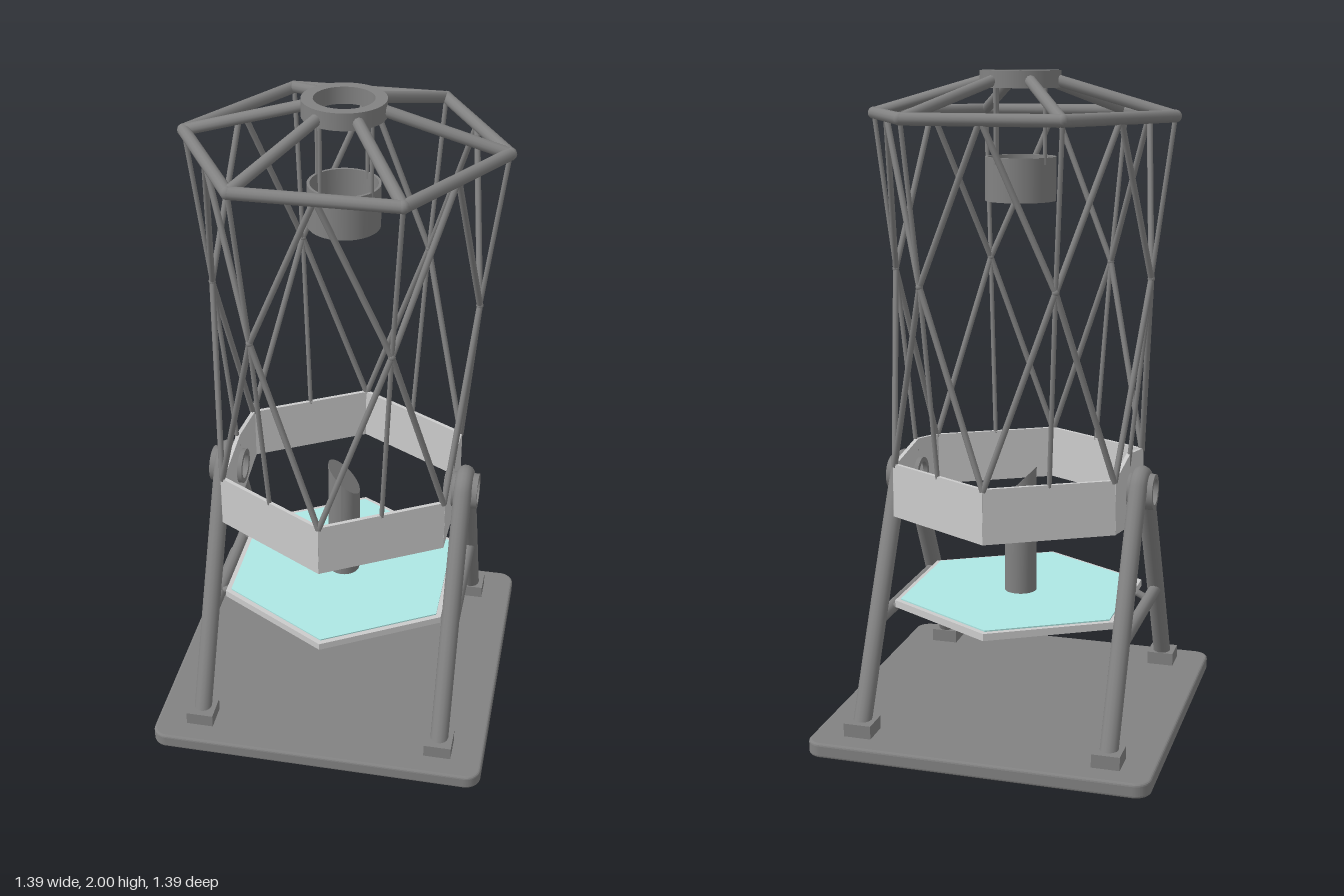
import * as THREE from 'three';

const dark = new THREE.MeshStandardMaterial({ color: 0x828282 });
const openDark = new THREE.MeshStandardMaterial({ color: 0x828282, side: THREE.DoubleSide });
const flatGrey = new THREE.MeshStandardMaterial({ color: 0xcccccc, flatShading: true });
const glass = new THREE.MeshStandardMaterial({ color: 0xaee7e4 });
const flatGlass = new THREE.MeshStandardMaterial({ color: 0xaee7e4, flatShading: true });

const V = (x, y, z) => new THREE.Vector3(x, y, z);
// Point on a circle, angle in degrees from +x towards +z
const polar = (r, deg, y) => {
  const a = THREE.MathUtils.degToRad(deg);
  return V(r * Math.cos(a), y, r * Math.sin(a));
};

function add(parent, name, geometry, material = dark, pos = V(0, 0, 0)) {
  const mesh = new THREE.Mesh(geometry, material);
  mesh.name = name;
  mesh.position.copy(pos);
  parent.add(mesh);
  return mesh;
}

function rod(parent, name, a, b, r, sides = 12) {
  const d = b.clone().sub(a);
  const mesh = add(parent, name, new THREE.CylinderGeometry(r, r, d.length(), sides), dark,
    a.clone().add(b).multiplyScalar(0.5));
  mesh.quaternion.setFromUnitVectors(V(0, 1, 0), d.normalize());
}

// Hollow ring standing along y from y0 to y1
function ringGeometry(outer, inner, y0, y1) {
  const p = [[inner, y0], [outer, y0], [outer, y0], [outer, y1], [outer, y1], [inner, y1], [inner, y1], [inner, y0]];
  return new THREE.LatheGeometry(p.map(([x, y]) => new THREE.Vector2(x, y)), 40);
}

// Hexagonal slab with corners on the x axis
const hexSlab = (r, h) => new THREE.CylinderGeometry(r, r, h, 6).rotateY(Math.PI / 6);

function buildBase(mount) {
  const h = 0.514, r = 0.04;
  const s = new THREE.Shape();
  s.absarc(h - r, h - r, r, 0, Math.PI / 2);
  s.absarc(r - h, h - r, r, Math.PI / 2, Math.PI);
  s.absarc(r - h, r - h, r, Math.PI, Math.PI * 1.5);
  s.absarc(h - r, r - h, r, Math.PI * 1.5, Math.PI * 2);
  const geo = new THREE.ExtrudeGeometry(s, {
    depth: 0.029, bevelThickness: 0.008, bevelSize: 0.008, bevelSegments: 3, curveSegments: 8,
  });
  geo.rotateX(-Math.PI / 2).translate(0, 0.008, 0);
  add(mount, 'basePlate', geo);
}

function buildSideFrame(mount, side) {
  const frame = new THREE.Group();
  frame.name = side > 0 ? 'leftSideFrame' : 'rightSideFrame';
  mount.add(frame);
  const x = 0.381 * side;

  // One bent tube runs up, over the bearing and down again
  const path = [V(x, 0.07, 0.408), V(x, 0.42, 0.232)];
  for (let i = 0; i <= 8; i++) {
    const p = polar(0.055, 27 + i * 15.75, 0);
    path.push(V(x, 0.745 + p.z, p.x));
  }
  path.push(V(x, 0.42, -0.232), V(x, 0.07, -0.408));
  add(frame, 'bentLegs', new THREE.TubeGeometry(new THREE.CatmullRomCurve3(path), 120, 0.028, 14));

  for (const z of [-1, 1]) {
    add(frame, 'footPad', new THREE.BoxGeometry(0.085, 0.042, 0.085), dark, V(x, 0.065, 0.408 * z));
    rod(frame, 'plateSupport', V(x, 0.35, 0.15 * z), V(0.325 * side, 0.38, 0.15 * z), 0.011);
  }
  rod(frame, 'crossBar', V(x, 0.35, -0.272), V(x, 0.35, 0.272), 0.02);

  // Hollow pivot joining the frame to the mirror housing
  const pivot = add(frame, 'pivotRing', ringGeometry(0.055, 0.04, 0.32, 0.425), openDark, V(0, 0.75, 0));
  pivot.rotation.z = -side * Math.PI / 2;
}

function buildHousing(group) {
  const housing = new THREE.Group();
  housing.name = 'hexagonalHousing';
  group.add(housing);
  for (let k = 0; k < 6; k++) {
    const deg = 30 + 60 * k;
    // The two panels that carry the pivots are peaked above and below
    const peak = deg === 150 || deg === 330 ? 0.032 : 0;
    const s = new THREE.Shape();
    s.moveTo(-0.2, -0.083);
    s.lineTo(0, -0.083 - peak);
    s.lineTo(0.2, -0.083);
    s.lineTo(0.2, 0.083);
    s.lineTo(0, 0.083 + peak);
    s.lineTo(-0.2, 0.083);
    const geo = new THREE.ExtrudeGeometry(s, { depth: 0.012, bevelEnabled: false });
    const panel = add(housing, 'housingPanel', geo, flatGrey, polar(0.334, deg, 0.75));
    panel.rotation.y = Math.PI / 2 - THREE.MathUtils.degToRad(deg);
  }
}

function buildMirror(group, mount) {
  add(group, 'mirrorPlate', hexSlab(0.4, 0.022), flatGrey, V(0, 0.386, 0));
  add(group, 'primaryMirror', hexSlab(0.382, 0.004), flatGlass, V(0, 0.399, 0));

  // Central tower with a slanted top facing one pivot
  const geo = new THREE.CylinderGeometry(0.05, 0.05, 0.35, 32);
  const p = geo.attributes.position;
  for (let i = 0; i < p.count; i++) if (p.getY(i) > 0) p.setY(i, 0.175 - p.getX(i));
  geo.computeVertexNormals();
  add(mount, 'centralTower', geo, dark, V(0, 0.575, 0));
}

function buildTruss(group) {
  const truss = new THREE.Group();
  truss.name = 'truss';
  group.add(truss);
  for (let k = 0; k < 6; k++) {
    const deg = 30 + 60 * k;
    const node = polar(0.4, deg, 1.4);
    add(truss, 'trussNode', new THREE.SphereGeometry(0.011, 10, 8), dark, node);
    for (const off of [-30, 30]) {
      rod(truss, 'lowerStrut', polar(0.394, deg + off, 0.825), node, 0.009, 8);
      rod(truss, 'upperStrut', node, polar(0.4, deg + off, 1.872), 0.009, 8);
    }
    rod(truss, 'lowerMiddleStrut', polar(0.34, deg, 0.825), node, 0.007, 8);
    rod(truss, 'upperMiddleStrut', node, polar(0.462, deg, 1.872), 0.007, 8);
  }
}

function buildTop(group) {
  const top = new THREE.Group();
  top.name = 'topEnd';
  group.add(top);
  for (let k = 0; k < 6; k++) {
    const deg = 30 + 60 * k;
    const corner = polar(0.462, deg, 1.872);
    rod(top, 'topRingBar', corner, polar(0.462, deg + 60, 1.872), 0.018);
    add(top, 'topRingCorner', new THREE.SphereGeometry(0.0185, 12, 10), dark, corner);
    rod(top, 'spoke', corner, polar(0.105, deg, 1.973), 0.017);
  }
  add(top, 'hubRing', ringGeometry(0.12, 0.086, 1.95, 2), openDark);

  // Secondary mirror in an open can, hung from the hub
  for (let k = 0; k < 4; k++) {
    rod(top, 'hangerRod', polar(0.102, 90 * k, 1.73), polar(0.102, 90 * k, 1.96), 0.006, 8);
  }
  add(top, 'secondaryCan', ringGeometry(0.106, 0.098, 1.62, 1.75), openDark);
  add(top, 'secondaryMirror', new THREE.CylinderGeometry(0.099, 0.099, 0.012, 40), glass, V(0, 1.63, 0));
}

export function createModel() {
  const group = new THREE.Group();
  group.name = 'telescope';
  // The base and side frames are turned against the hexagonal tube
  const mount = new THREE.Group();
  mount.name = 'mount';
  mount.rotation.y = Math.PI / 6;
  group.add(mount);
  buildBase(mount);
  for (const side of [-1, 1]) buildSideFrame(mount, side);
  buildHousing(group);
  buildMirror(group, mount);
  buildTruss(group);
  buildTop(group);
  return group;
}
